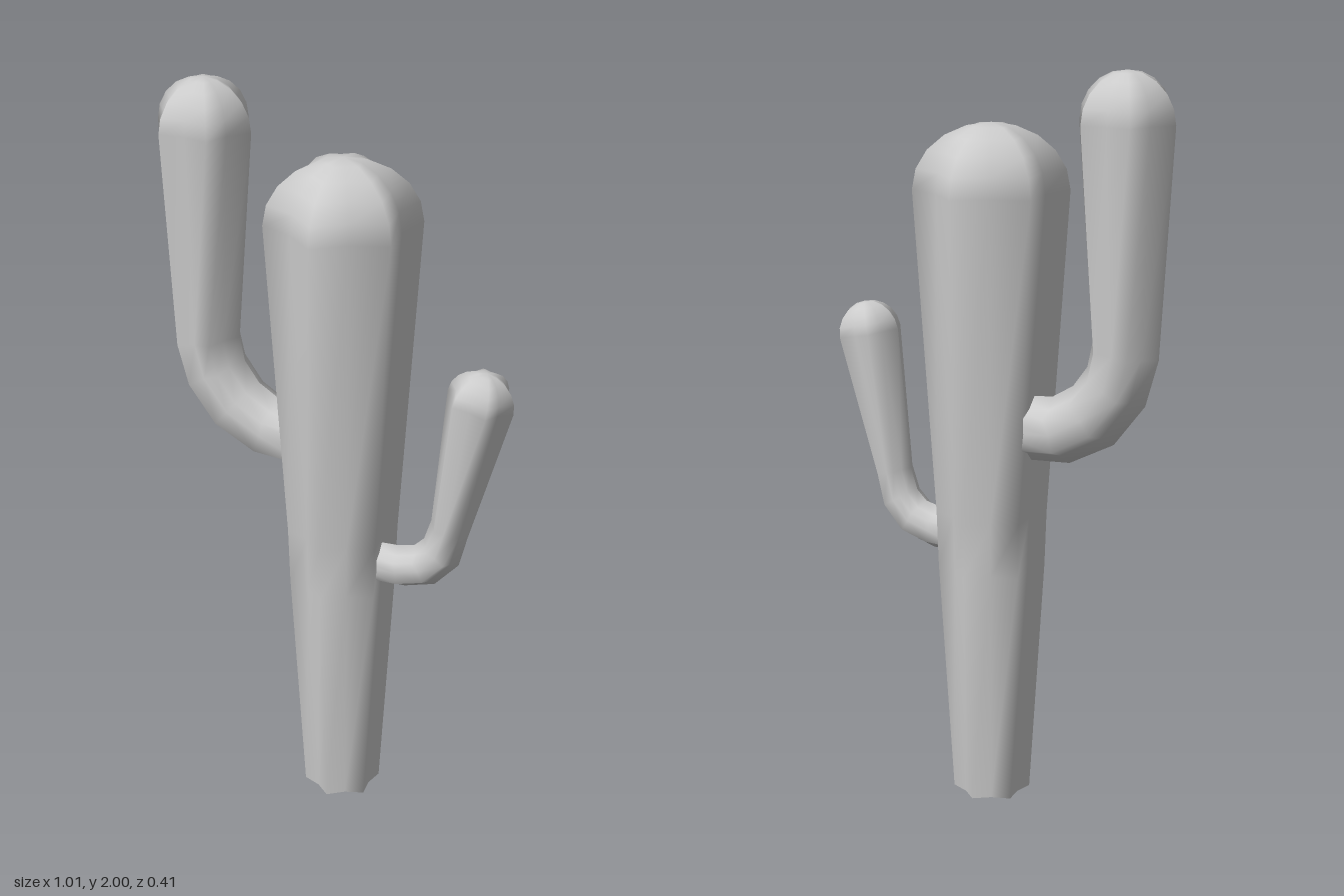
import * as THREE from 'three';

const RIBS = 6, SIDES = RIBS * 2, VALLEY = 0.785, DOME_STEPS = 5;

// Star-section stem swept along [x, y, radius] stations in the xy plane,
// finished with a ribbed dome of the given height and a flat starting cap.
function ribbedStem(name, stations, domeHeight, tipAngle, material) {
  const pts = stations.map(([x, y]) => new THREE.Vector2(x, y));
  const rings = stations.map(([, , r], i) => {
    const a = pts[Math.max(i - 1, 0)], b = pts[Math.min(i + 1, pts.length - 1)];
    const before = pts[i].clone().sub(a).normalize();
    const after = b.clone().sub(pts[i]).normalize();
    return { c: pts[i], t: before.add(after).normalize(), r };
  });

  // Dome rings continue along the last direction
  const end = rings[rings.length - 1];
  for (let k = 1; k < DOME_STEPS; k++) {
    const a = (k / DOME_STEPS) * Math.PI / 2;
    rings.push({
      c: end.c.clone().addScaledVector(end.t, domeHeight * Math.sin(a)),
      t: end.t,
      r: end.r * Math.cos(a),
    });
  }

  const pos = [], index = [];
  for (const { c, t, r } of rings) {
    for (let j = 0; j < SIDES; j++) {
      const a = tipAngle + (j / SIDES) * Math.PI * 2;
      const rad = j % 2 ? r * VALLEY : r;
      const n = rad * Math.cos(a);
      pos.push(c.x + t.y * n, c.y - t.x * n, rad * Math.sin(a));
    }
  }
  for (let i = 0; i < rings.length - 1; i++) {
    for (let j = 0; j < SIDES; j++) {
      const k = (j + 1) % SIDES;
      const a = i * SIDES + j, b = i * SIDES + k;
      index.push(a, a + SIDES, b, b, a + SIDES, b + SIDES);
    }
  }

  // Tip of the dome
  const tip = end.c.clone().addScaledVector(end.t, domeHeight);
  const apex = pos.length / 3, last = (rings.length - 1) * SIDES;
  pos.push(tip.x, tip.y, 0);
  for (let j = 0; j < SIDES; j++) index.push(last + j, apex, last + (j + 1) % SIDES);

  // Starting cap with its own vertices, so the rim stays sharp
  const base = pos.length / 3;
  pos.push(...pos.slice(0, SIDES * 3), pts[0].x, pts[0].y, 0);
  for (let j = 0; j < SIDES; j++) index.push(base + j, base + (j + 1) % SIDES, base + SIDES);

  const geometry = new THREE.BufferGeometry();
  geometry.setAttribute('position', new THREE.Float32BufferAttribute(pos, 3));
  geometry.setIndex(index);
  geometry.computeVertexNormals();
  const mesh = new THREE.Mesh(geometry, material);
  mesh.name = name;
  return mesh;
}

export function createModel() {
  const group = new THREE.Group();
  group.name = 'cactus';
  const material = new THREE.MeshStandardMaterial({ color: 0xcccccc });

  // Trunk, ribs pointing to front and back
  group.add(ribbedStem('trunk', [
    [0.025, 0, 0.104], [0.025, 0.65, 0.143], [0.025, 0.8, 0.148], [0.025, 1.67, 0.205],
  ], 0.175, Math.PI / 2, material));

  // Tall arm on the model's right
  const tallArm = ribbedStem('tallArm', [
    [-0.04, 1.045, 0.086], [-0.19, 1.058, 0.09], [-0.285, 1.11, 0.093],
    [-0.35, 1.195, 0.094], [-0.375, 1.29, 0.096], [-0.37, 1.87, 0.135],
  ], 0.13, 0, material);
  tallArm.position.z = -0.004;
  group.add(tallArm);

  // Short leaning arm on the model's left
  group.add(ribbedStem('shortArm', [
    [0.08, 0.722, 0.058], [0.2, 0.727, 0.06], [0.265, 0.745, 0.06],
    [0.313, 0.795, 0.058], [0.335, 0.87, 0.054], [0.41, 1.25, 0.092],
  ], 0.085, 0, material));

  return group;
}
